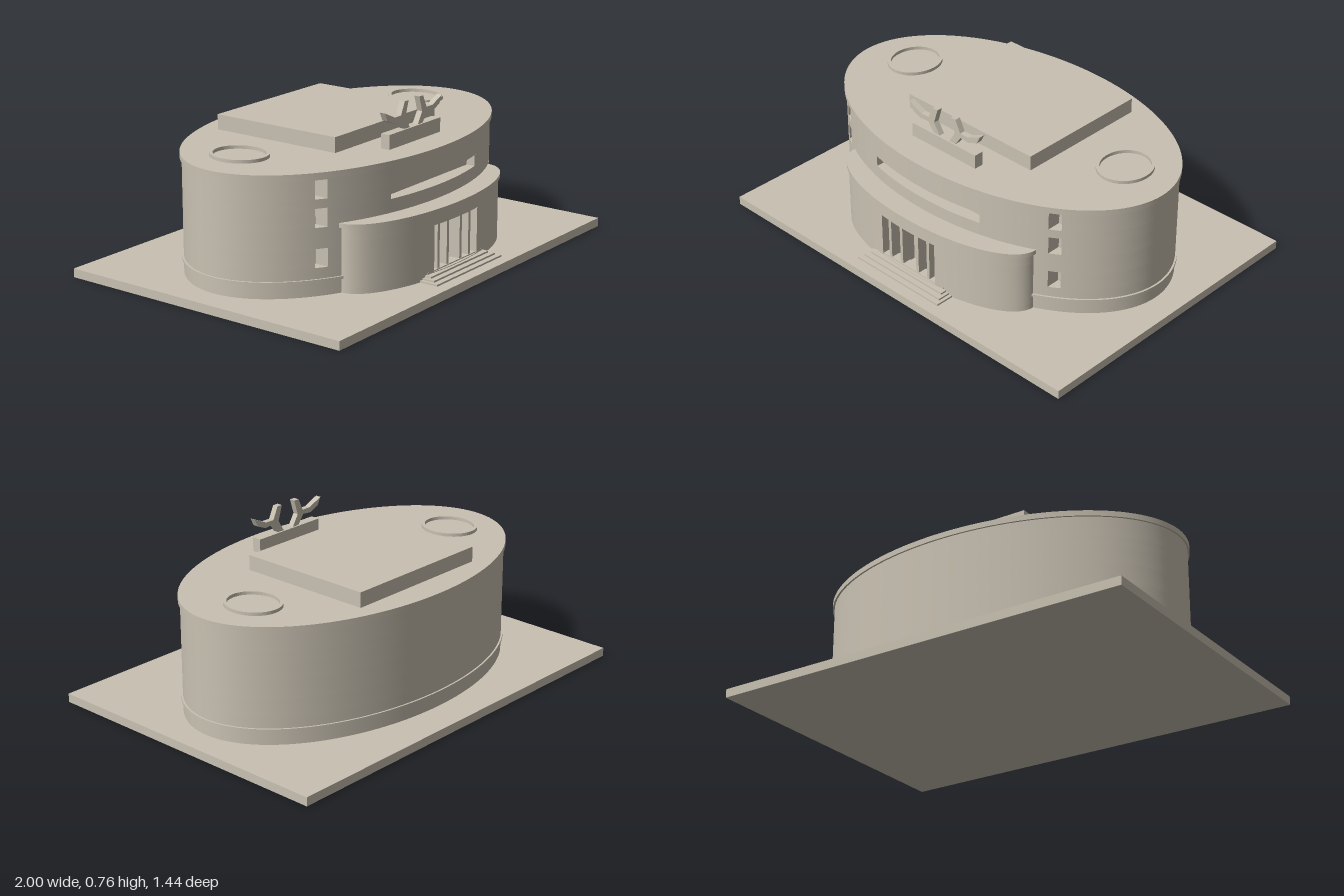
import * as THREE from 'three';
import { toCreasedNormals } from 'three/addons/utils/BufferGeometryUtils.js';

export function createModel() {
  const model = new THREE.Group();
  model.name = 'ovalBuilding';
  const stone = new THREE.MeshStandardMaterial({ color: 0xc9c1b2 });
  stone.name = 'warm grey stone';

  const add = (name, geometry, parent = model) => {
    const mesh = new THREE.Mesh(geometry, stone);
    mesh.name = name;
    parent.add(mesh);
    return mesh;
  };
  const box = (name, x0, x1, y0, y1, z0, z1, parent) =>
    add(name, new THREE.BoxGeometry(x1 - x0, y1 - y0, z1 - z0)
      .translate((x0 + x1) / 2, (y0 + y1) / 2, (z0 + z1) / 2), parent);

  // Extrude a plan (x, -z) upward from y0 to y1
  const slab = (name, shape, y0, y1, parent) => {
    const g = new THREE.ExtrudeGeometry(shape, { depth: y1 - y0, bevelEnabled: false, curveSegments: 96 });
    g.rotateX(-Math.PI / 2).translate(0, y0, 0);
    return add(name, toCreasedNormals(g, 0.4), parent);
  };

  // Elliptical plan whose front is notched by flat-backed recesses
  const ovalPlan = (rx, rz, cz, cuts = []) => {
    const N = 128, pts = [];
    const front = x => cz + rz * Math.sqrt(Math.max(0, 1 - (x / rx) ** 2));
    for (let i = 0; i < N; i++) {
      const t = Math.PI + (i / N) * Math.PI * 2;
      const x = rx * Math.cos(t), z = cz - rz * Math.sin(t);
      const inCut = i <= N / 2 && cuts.some(c => x > c.x0 - 0.002 && x < c.x1 + 0.002);
      if (!inCut) pts.push([x, z, i <= N / 2]);
    }
    const arc = pts.filter(p => p[2]), rear = pts.filter(p => !p[2]);
    const notch = cuts.map(c => [[c.x0, front(c.x0)], [c.x0, c.back], [c.x1, c.back], [c.x1, front(c.x1)]]);
    const outline = [];
    notch.sort((a, b) => a[0][0] - b[0][0]);
    for (const p of arc) {
      while (notch.length && notch[0][0][0] < p[0]) outline.push(...notch.shift());
      outline.push(p);
    }
    return new THREE.Shape([...outline, ...rear].map(p => new THREE.Vector2(p[0], -p[1])));
  };

  // Wall made of storeys, split wherever a recess begins or ends
  const notchedWall = (name, rx, rz, cz, y0, y1, cuts) => {
    const group = new THREE.Group();
    group.name = name;
    model.add(group);
    const levels = [...new Set([y0, y1, ...cuts.flatMap(c => [c.y0, c.y1])])].sort((a, b) => a - b);
    for (let i = 0; i < levels.length - 1; i++) {
      const mid = (levels[i] + levels[i + 1]) / 2;
      const open = cuts.filter(c => c.y0 < mid && c.y1 > mid);
      slab(name + 'Course', ovalPlan(rx, rz, cz, open), levels[i], levels[i + 1], group);
    }
  };

  // Site plate
  box('basePlate', -1, 1, 0, 0.04, -0.72, 0.72);

  // Main oval hall with side windows and the long slot window
  const cz = -0.027;
  const hallCuts = [{ x0: -0.315, x1: 0.315, y0: 0.405, y1: 0.455, back: 0.43 }];
  for (const [y0, y1] of [[0.163, 0.245], [0.336, 0.418], [0.458, 0.539]]) {
    hallCuts.push({ x0: 0.605, x1: 0.652, y0, y1, back: 0.295 });
    hallCuts.push({ x0: -0.652, x1: -0.605, y0, y1, back: 0.295 });
  }
  notchedWall('hallWall', 0.879, 0.533, cz, 0.04, 0.55, hallCuts);
  slab('roofSlab', ovalPlan(0.888, 0.541, cz), 0.548, 0.573);
  slab('plinthBand', ovalPlan(0.888, 0.541, cz), 0.103, 0.115);

  // Entrance porch
  notchedWall('porchWall', 0.549, 0.21, 0.39, 0.04, 0.33,
    [{ x0: -0.165, x1: 0.16, y0: 0.067, y1: 0.275, back: 0.515 }]);
  slab('porchRoof', ovalPlan(0.56, 0.216, 0.39), 0.325, 0.345);
  for (const x of [-0.123, -0.053, 0.045, 0.112])
    box('entranceFin', x - 0.008, x + 0.008, 0.06, 0.278, 0.51, 0.583);

  // Entrance steps
  for (let i = 0; i < 4; i++) {
    const w = 0.25 - i * 0.015;
    box('entranceStep', -w, w, 0.04, 0.048 + i * 0.008, 0.54, 0.665 - i * 0.026);
  }

  // Rooftop block and oval skylight rims
  box('roofBlock', -0.367, 0.367, 0.57, 0.642, -0.433, 0.217);
  for (const s of [-1, 1]) {
    const rim = new THREE.Shape().absellipse(s * 0.64, 0.078, 0.119, 0.133, 0, Math.PI * 2);
    rim.holes.push(new THREE.Path().absellipse(s * 0.64, 0.078, 0.105, 0.118, 0, Math.PI * 2));
    slab('skylightRim', rim, 0.57, 0.588);
  }

  // Branching roof sculpture on its plinth
  box('sculpturePlinth', -0.19, 0.19, 0.57, 0.638, 0.326, 0.37);
  const branch = [[0.025, 0.63], [0.062, 0.69], [0.04, 0.76], [0.068, 0.76], [0.095, 0.703],
    [0.14, 0.703], [0.212, 0.735], [0.193, 0.698], [0.145, 0.678], [0.098, 0.682], [0.06, 0.63]];
  for (const s of [-1, 1]) {
    const shape = new THREE.Shape(branch.map(([x, y]) => new THREE.Vector2(s * x, y)));
    add('sculptureBranch', new THREE.ExtrudeGeometry(shape, { depth: 0.027, bevelEnabled: false })
      .translate(0, 0, 0.335));
  }
  return model;
}
